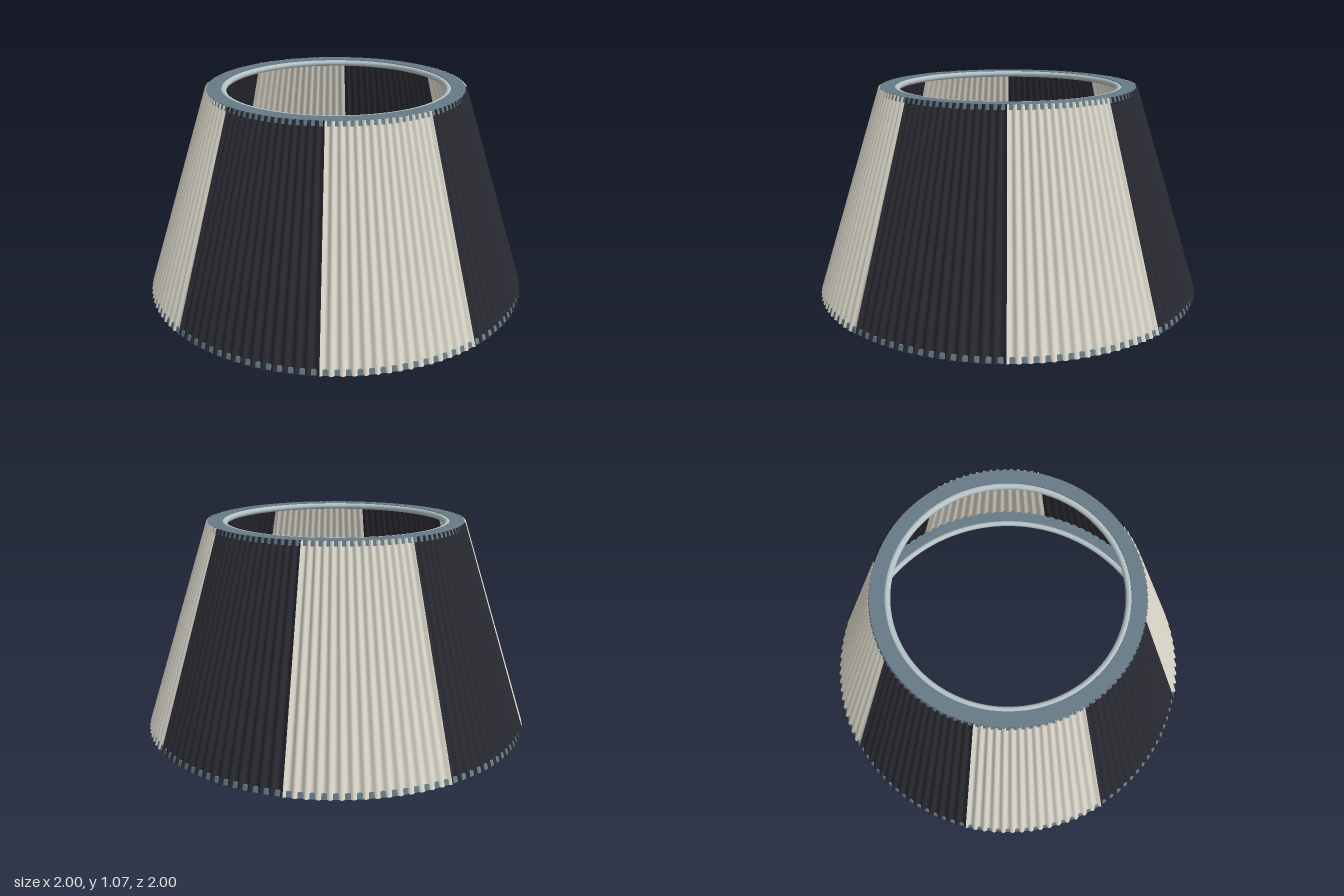
import * as THREE from 'three';
import { toCreasedNormals } from 'three/addons/utils/BufferGeometryUtils.js';

const HEIGHT = 1.07;
const PANELS = 8;
const PLEATS_PER_PANEL = 15;
const SEGMENTS = 120;

// Wall radius at mid pleat depth
const wallRadius = (y) => THREE.MathUtils.lerp(0.992, 0.652, y / HEIGHT);

// One pleated fabric panel: a plane wrapped around the cone with rippled radius
function pleatedPanel(start, angle) {
  const geo = new THREE.PlaneGeometry(1, 1, PLEATS_PER_PANEL * 6, 1);
  const pos = geo.attributes.position;
  for (let i = 0; i < pos.count; i++) {
    const u = pos.getX(i) + 0.5;
    const y = (pos.getY(i) + 0.5) * HEIGHT;
    const phi = start + u * angle;
    const r = wallRadius(y) + 0.008 * Math.cos(u * PLEATS_PER_PANEL * Math.PI * 2);
    pos.setXYZ(i, r * Math.sin(phi), y, r * Math.cos(phi));
  }
  geo.computeVertexNormals();
  return geo;
}

// Flat ring that closes the wall edge, following the slope of the cone
function trimRing(y0, y1, inner) {
  const profile = [
    [inner, y0], [wallRadius(y0), y0], [wallRadius(y1), y1], [inner, y1], [inner, y0],
  ].map(([r, y]) => new THREE.Vector2(r, y));
  return toCreasedNormals(new THREE.LatheGeometry(profile, SEGMENTS), 0.6);
}

export function createModel() {
  const model = new THREE.Group();
  model.name = 'lampshade';

  const dark = new THREE.MeshStandardMaterial({ color: 0x2a2a33, side: THREE.DoubleSide });
  dark.name = 'charcoal fabric';
  const light = new THREE.MeshStandardMaterial({ color: 0xdedacd, side: THREE.DoubleSide });
  light.name = 'ivory fabric';
  const slate = new THREE.MeshStandardMaterial({ color: 0x667a87 });
  slate.name = 'slate trim';
  const steel = new THREE.MeshStandardMaterial({ color: 0xb5c3c7 });
  steel.name = 'pale steel';

  const add = (name, geo, mat) => {
    const mesh = new THREE.Mesh(geo, mat);
    mesh.name = name;
    model.add(mesh);
    return mesh;
  };

  // Alternating pleated panels
  const angle = (Math.PI * 2) / PANELS;
  for (let k = 0; k < PANELS; k++) {
    add(`pleatedPanel${k + 1}`, pleatedPanel(k * angle, angle), k % 2 ? light : dark);
  }

  // Trim and wire ring at each opening
  const openings = [
    { name: 'bottom', y0: 0, y1: 0.025, inner: 0.915 },
    { name: 'top', y0: HEIGHT - 0.025, y1: HEIGHT, inner: 0.58 },
  ];
  for (const { name, y0, y1, inner } of openings) {
    add(`${name}Trim`, trimRing(y0, y1, inner), slate);
    const wire = new THREE.TorusGeometry(inner - 0.01, 0.016, 12, SEGMENTS);
    wire.rotateX(Math.PI / 2);
    add(`${name}WireRing`, wire, steel).position.y = (y0 + y1) / 2 + (name === 'top' ? -0.004 : 0.004);
  }

  return model;
}
